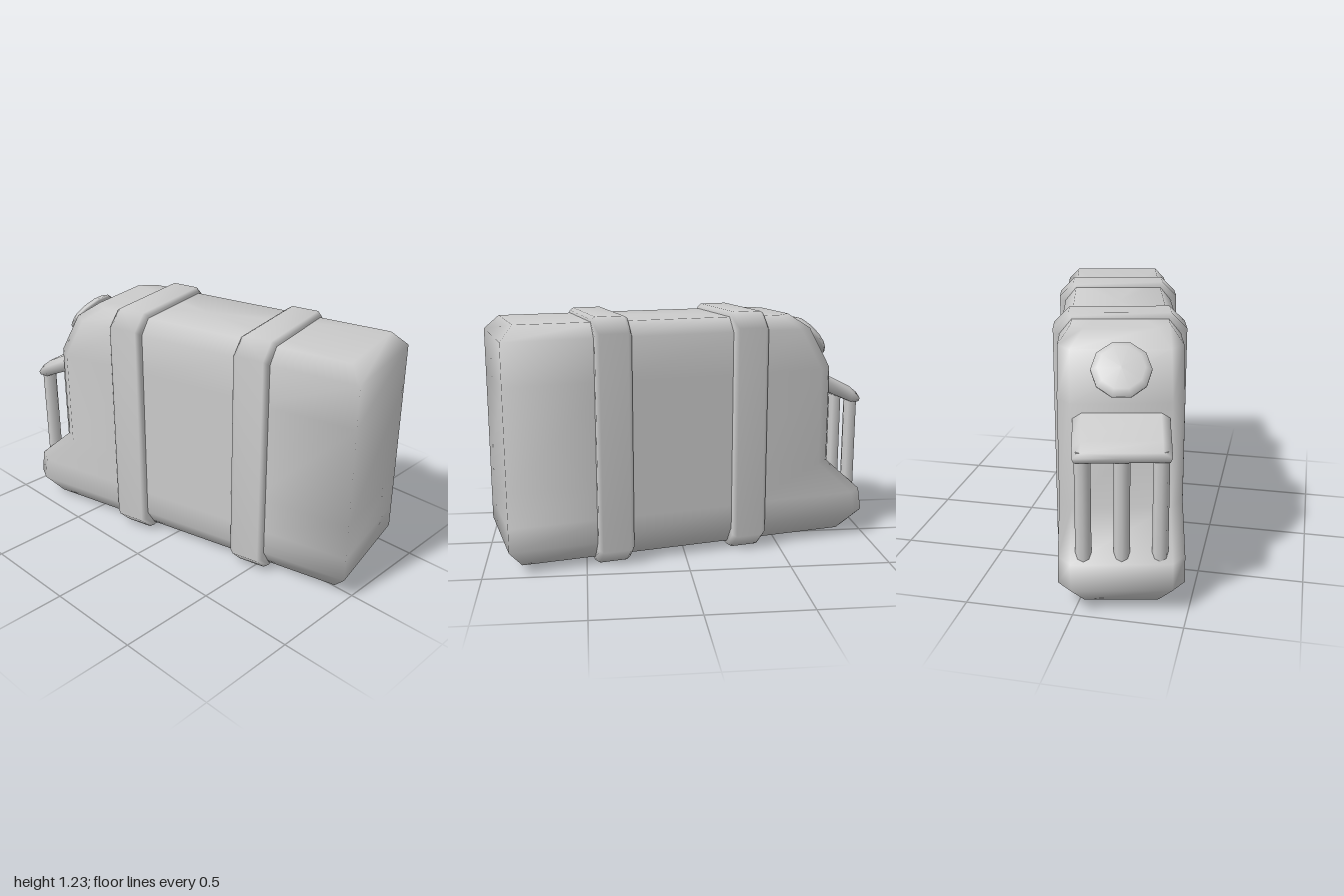
import * as THREE from 'three';

const material = new THREE.MeshStandardMaterial({ color: 0xcccccc });

function addMesh(parent, geometry, name) {
  const mesh = new THREE.Mesh(geometry, material);
  mesh.name = name;
  parent.add(mesh);
  return mesh;
}

// Smooth skin over equal-length rings that run counterclockwise about the sweep direction
function loft(rings) {
  const n = rings[0].length, last = rings.length - 1;
  const pos = rings.flat(2), index = [];
  for (let i = 0; i < last; i++) {
    for (let j = 0; j < n; j++) {
      const k = (j + 1) % n;
      const a = i * n + j, b = i * n + k, c = b + n, d = a + n;
      index.push(a, b, c, a, c, d);
    }
  }
  // end caps fan out from the ring centres
  for (const r of [0, last]) {
    const centre = pos.length / 3;
    for (let ax = 0; ax < 3; ax++) pos.push(rings[r].reduce((s, p) => s + p[ax], 0) / n);
    for (let j = 0; j < n; j++) {
      const a = r * n + j, b = r * n + (j + 1) % n;
      if (r === 0) index.push(centre, b, a);
      else index.push(centre, a, b);
    }
  }
  const geo = new THREE.BufferGeometry();
  geo.setAttribute('position', new THREE.Float32BufferAttribute(pos, 3));
  geo.setIndex(index);
  geo.computeVertexNormals();
  return geo;
}

// Horizontal slice of the can, with chamfered corners at the handle end
function bodySlice([y, left, right, half]) {
  const c = 0.075, e = 0.06;
  return [
    [right, y, half], [right, y, -half], [0.45, y, -half], [-0.27, y, -half],
    [left + c, y, -half], [left, y, -half + e], [left, y, half - e],
    [left + c, y, half], [-0.27, y, half], [0.45, y, half],
  ];
}

// Upright chamfered rectangle for a strap, drawn in by d on all sides
function strapSlice(x, d) {
  const top = 1.225 - d, bottom = d, w = 0.316 - d, c = 0.075;
  return [
    [x, top, -w + c], [x, top, w - c], [x, top - c, w], [x, bottom + c, w],
    [x, bottom, w - c], [x, bottom, -w + c], [x, bottom + c, -w], [x, top - c, -w],
  ];
}

export function createModel() {
  const model = new THREE.Group();
  model.name = 'fuelCan';
  const can = new THREE.Group();
  can.name = 'can';
  can.rotation.y = 0.2225;
  model.add(can);

  // Body: height, handle end, far end, half width
  const levels = [
    [0.03, -0.90, 0.885, 0.227],
    [0.12, -0.975, 0.955, 0.285],
    [0.24, -0.955, 0.955, 0.285],
    [0.42, -0.75, 0.955, 0.285],
    [0.92, -0.75, 0.955, 0.285],
    [1.13, -0.63, 0.955, 0.285],
    [1.20, -0.53, 0.885, 0.227],
  ];
  addMesh(can, loft(levels.map(bodySlice)), 'body');

  // Straps with softened outer edges
  for (const x of [-0.275, 0.43]) {
    const steps = [[-0.09, 0.045], [-0.09, 0.012], [-0.07, 0], [0.07, 0], [0.09, 0.012], [0.09, 0.045]];
    addMesh(can, loft(steps.map(([dx, d]) => strapSlice(x + dx, d))), 'strap');
  }

  // Handle: sloping top plate and three upright bars
  const handle = new THREE.Group();
  handle.name = 'handle';
  can.add(handle);
  const plate = [[-0.945, 0.765, 0.72], [-0.90, 0.80, 0.72], [-0.74, 0.88, 0.79], [-0.70, 0.88, 0.80]];
  addMesh(handle, loft(plate.map(([x, top, bottom]) => {
    const mid = top - 0.025;
    return [
      [x, top, -0.175], [x, top, 0.175], [x, mid, 0.215],
      [x, bottom, 0.205], [x, bottom, -0.205], [x, mid, -0.215],
    ];
  })), 'handlePlate');
  for (const z of [-0.17, 0, 0.17]) {
    const bar = addMesh(handle, new THREE.CylinderGeometry(1, 1, 0.55, 8), 'handleBar');
    bar.scale.set(0.034, 1, 0.036);
    bar.position.set(-0.911, 0.49, z);
  }

  // Filler cap on a narrow neck
  const profile = [
    [0.08, -0.12], [0.08, -0.01], [0.105, -0.01], [0.135, 0.008],
    [0.135, 0.02], [0.105, 0.04], [0, 0.045],
  ].map(([r, y]) => new THREE.Vector2(r, y));
  const cap = addMesh(can, new THREE.LatheGeometry(profile, 10), 'fillerCap');
  cap.position.set(-0.715, 1.055, 0);
  cap.rotation.z = 0.83;

  return model;
}
